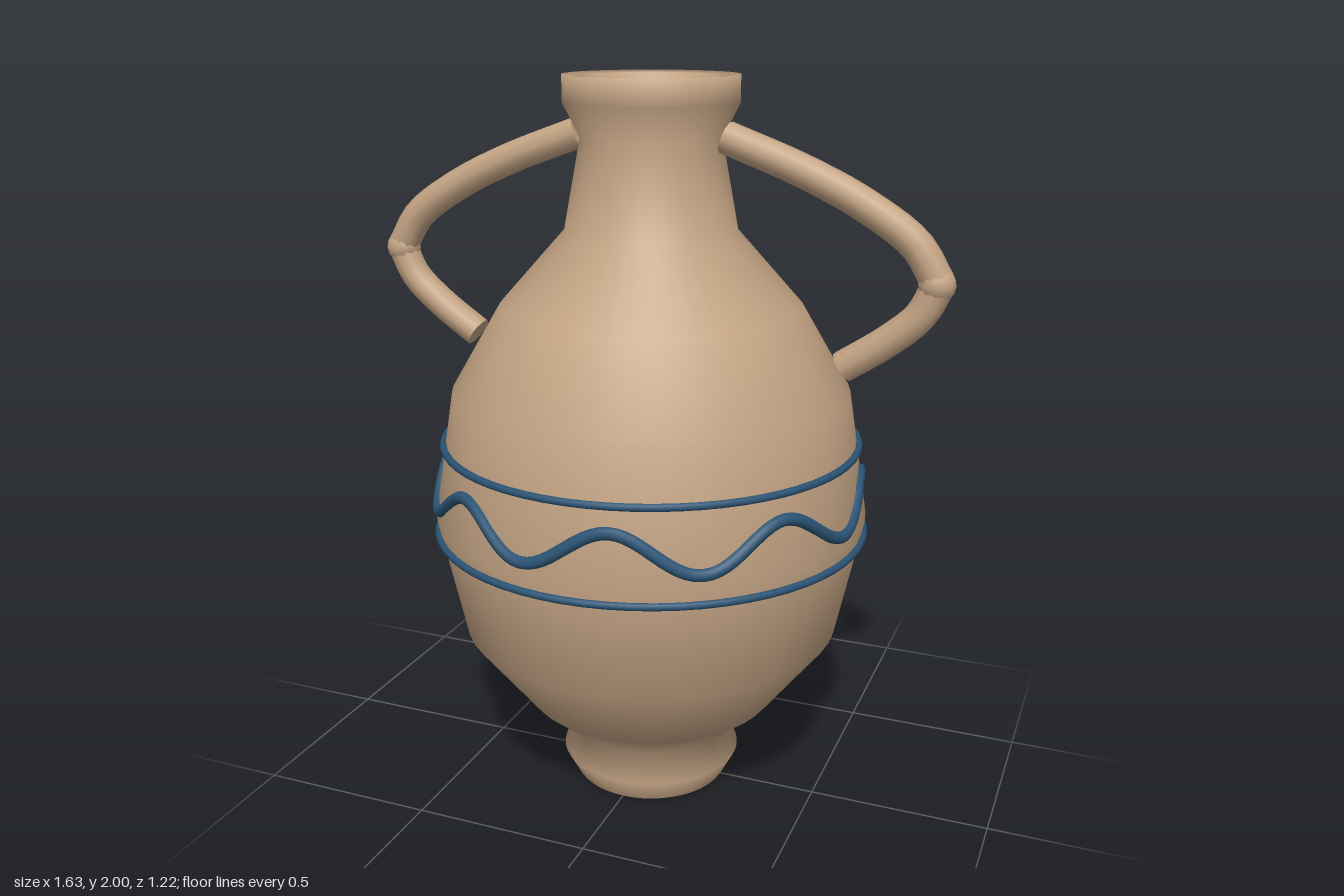
import * as THREE from 'three';

const clay = new THREE.MeshStandardMaterial({ color: 0xc4a484 });
clay.name = 'clay';
const glaze = new THREE.MeshStandardMaterial({ color: 0x2b5475 });
glaze.name = 'blueGlaze';

function add(parent, name, geometry, material) {
  const mesh = new THREE.Mesh(geometry, material);
  mesh.name = name;
  parent.add(mesh);
  return mesh;
}

// Radius of the belly where the decoration sits
const bellyRadius = (y) => 0.6 - (y - 0.82) * 0.157;

// Undulating line that hugs the belly
class WaveCurve extends THREE.Curve {
  getPoint(t, target = new THREE.Vector3()) {
    const a = t * Math.PI * 2;
    const y = 0.902 - 0.052 * Math.sin(8 * a);
    const r = bellyRadius(y);
    return target.set(r * Math.cos(a), y, r * Math.sin(a));
  }
}

// One arched handle on the +x side: two tubes meeting at a knuckle, with closed ends
function makeHandle(name) {
  const handle = new THREE.Group();
  handle.name = name;
  const v = (x, y) => new THREE.Vector3(x, y, 0);
  const upper = new THREE.CatmullRomCurve3([
    v(0.205, 1.847), v(0.42, 1.767), v(0.58, 1.69), v(0.71, 1.6), v(0.768, 1.51),
  ]);
  const lower = new THREE.CatmullRomCurve3([v(0.768, 1.5), v(0.73, 1.425), v(0.65, 1.352), v(0.535, 1.273)]);
  const radius = 0.043;
  add(handle, 'upperArm', new THREE.TubeGeometry(upper, 20, radius, 10), clay);
  add(handle, 'lowerArm', new THREE.TubeGeometry(lower, 12, radius, 10), clay);
  add(handle, 'knuckle', new THREE.SphereGeometry(0.048, 12, 8), clay).position.set(0.766, 1.505, 0);

  const cap = (capName, point, direction) => {
    const mesh = add(handle, capName, new THREE.CircleGeometry(radius, 10), clay);
    mesh.position.copy(point);
    mesh.lookAt(point.clone().add(direction));
  };
  cap('upperEnd', upper.getPoint(0), upper.getTangent(0).negate());
  cap('lowerEnd', lower.getPoint(1), lower.getTangent(1));
  return handle;
}

export function createModel() {
  const vase = new THREE.Group();
  vase.name = 'vase';

  // Foot, belly, neck, rim and inside of the mouth as one smooth profile
  const profile = [
    [0.22, 0], [0.257, 0.07], [0.23, 0.155], [0.36, 0.26], [0.53, 0.48],
    [0.602, 0.82], [0.545, 1.17], [0.41, 1.4], [0.232, 1.6], [0.187, 1.84],
    [0.232, 1.93], [0.232, 2], [0.18, 1.995], [0.15, 1.9], [0.15, 1.6],
  ].map(([r, y]) => new THREE.Vector2(r, y));
  add(vase, 'body', new THREE.LatheGeometry(profile, 48), clay);

  // Underside and inner floor
  add(vase, 'underside', new THREE.CircleGeometry(0.22, 48), clay).rotation.x = Math.PI / 2;
  const floor = add(vase, 'innerFloor', new THREE.CircleGeometry(0.151, 48), clay);
  floor.rotation.x = -Math.PI / 2;
  floor.position.y = 1.6;

  // Glazed bands and the wave between them
  for (const [name, y, r] of [['upperBand', 1.022, 0.574], ['lowerBand', 0.773, 0.598]]) {
    const band = add(vase, name, new THREE.TorusGeometry(r, 0.0105, 8, 64), glaze);
    band.rotation.x = Math.PI / 2;
    band.position.y = y;
  }
  add(vase, 'wave', new THREE.TubeGeometry(new WaveCurve(), 192, 0.017, 8, true), glaze);

  // Handles on both sides
  vase.add(makeHandle('leftHandle'));
  const right = makeHandle('rightHandle');
  right.rotation.y = Math.PI;
  vase.add(right);

  return vase;
}
